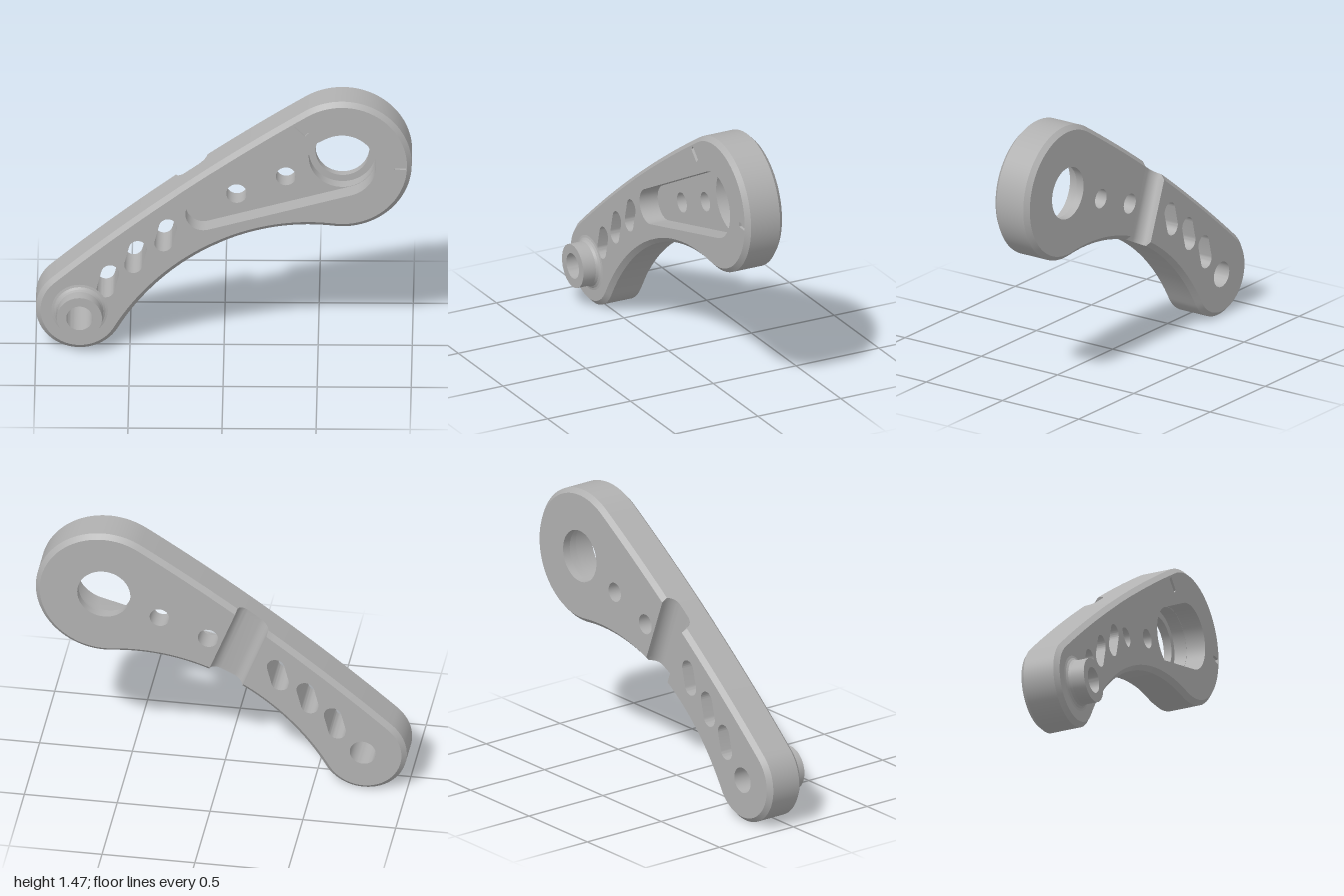
import * as THREE from 'three';
import { toCreasedNormals } from 'three/addons/utils/BufferGeometryUtils.js';

const FRONT = 0.065, BACK = -0.16, CHAMFER = 0.025;
const POCKET_Z = -0.045, LEDGE_Z = -0.115;
const V2 = (x, y) => new THREE.Vector2(x, y);
const rad = THREE.MathUtils.degToRad;

// Points along an arc, angles in degrees
function arc(c, r, a0, a1, n) {
  return Array.from({ length: n + 1 }, (_, i) => {
    const a = rad(a0 + (a1 - a0) * i / n);
    return V2(c.x + r * Math.cos(a), c.y + r * Math.sin(a));
  });
}
const circle = (c, r, n = 48) => arc(c, r, 0, 360, n).slice(0, n);

// Outline wrapped around two circles
function hull(c1, r1, c2, r2) {
  const t = THREE.MathUtils.radToDeg(Math.atan2(c2.y - c1.y, c2.x - c1.x));
  const s = THREE.MathUtils.radToDeg(Math.asin((r2 - r1) / c1.distanceTo(c2)));
  return [...arc(c1, r1, t + 90 + s, t + 270 - s, 20), ...arc(c2, r2, t - 90 - s, t + 90 + s, 28)];
}

// Curve leaving a in direction da and reaching b in direction db (degrees)
function sweep(a, da, b, db, h) {
  const off = (p, d, k) => V2(p.x + k * Math.cos(rad(d)), p.y + k * Math.sin(rad(d)));
  return new THREE.CubicBezierCurve(a, off(a, da, h), off(b, db, -h), b).getPoints(40).slice(1, -1);
}

const at = (loop, z) => loop.map(p => new THREE.Vector3(p.x, p.y, z));

// Surface between two matching rows of points
function strip(a, b, closed = true) {
  const n = a.length, idx = [];
  for (let i = 0; i < (closed ? n : n - 1); i++) {
    const j = (i + 1) % n;
    idx.push(i, j, n + j, i, n + j, n + i);
  }
  const g = new THREE.BufferGeometry().setFromPoints([...a, ...b]);
  g.setIndex(idx);
  return toCreasedNormals(g, 0.5);
}

// Flat face with holes, at height z
function face(loop, holes, z) {
  const s = new THREE.Shape(loop);
  s.holes = holes.map(h => new THREE.Path(h));
  return new THREE.ShapeGeometry(s).translate(0, 0, z);
}

export function createModel() {
  const group = new THREE.Group();
  const metal = new THREE.MeshStandardMaterial({ color: 0xb0b0b0, side: THREE.DoubleSide });
  metal.name = 'grey metal';
  const add = (name, geo) => {
    const m = new THREE.Mesh(geo, metal);
    m.name = name;
    group.add(m);
    return m;
  };

  // Arm outline, counterclockwise
  const small = V2(-0.767, 0.234), big = V2(0.628, 1.097);
  const end1 = arc(small, 0.233, 131, 330, 48), end2 = arc(big, 0.37, -97, 122, 64);
  const outline = [
    ...end1, ...sweep(end1.at(-1), 60, end2[0], -7, 0.473),
    ...end2, ...sweep(end2.at(-1), 212, end1[0], 221, 0.56),
  ];

  // Cross groove on the back: u runs across it, v along it
  const U = V2(0.93, 0.36).normalize(), V = V2(-U.y, U.x), mid = V2(-0.105, 0.83);
  const uOf = p => p.clone().sub(mid).dot(U), vOf = p => p.clone().sub(mid).dot(V);
  const half = [[-0.1001, BACK]];
  for (let k = 0; k <= 8; k++) {
    const a = k / 8 * Math.PI / 2;
    half.push([-0.1 + 0.06 * (1 - Math.cos(a)), -0.145 + 0.06 * Math.sin(a)]);
  }
  const profile = [...half, ...half.map(([u, z]) => [-u, z]).reverse()];

  // Rim points with the back height the groove leaves at each
  const rim = [];
  outline.forEach((p, i) => {
    const n = outline.length, q = outline[(i + 1) % n], o = outline[(i + n - 1) % n];
    const up = uOf(p), uq = uOf(q);
    if (Math.abs(up) > 0.1001) {
      const t = q.clone().sub(o).normalize();
      rim.push({ p, u: up, z: BACK, inner: V2(p.x - t.y * CHAMFER, p.y + t.x * CHAMFER) });
    }
    const hits = profile.filter(([u]) => (u - up) * (u - uq) < 0);
    if (uq < up) hits.reverse();
    for (const [u, z] of hits) {
      const c = p.clone().lerp(q, (u - up) / (uq - up));
      const inner = c.clone().addScaledVector(V, vOf(c) < 0 ? CHAMFER : -CHAMFER);
      rim.push({ p: c, u, z, inner, groove: true });
    }
  });
  const outer = rim.map(r => r.p), inner = rim.map(r => r.inner);
  const backWall = rim.map(r => new THREE.Vector3(r.p.x, r.p.y, Math.max(r.z, BACK + CHAMFER)));
  const backRim = rim.map(r => new THREE.Vector3(r.inner.x, r.inner.y, r.z));

  add('armSide', strip(backWall, at(outer, FRONT - CHAMFER)));
  add('frontChamfer', strip(at(outer, FRONT - CHAMFER), at(inner, FRONT)));
  add('backChamfer', strip(backRim, backWall));

  // Openings
  const slots = [[-0.617, 0.405], [-0.47, 0.55], [-0.31, 0.68]].map(([x, y]) =>
    hull(V2(x - 0.012, y - 0.047), 0.048, V2(x + 0.012, y + 0.047), 0.048));
  const pinHoles = [circle(V2(0.066, 0.875), 0.055, 32), circle(V2(0.328, 0.979), 0.053, 32)];
  const pocket = hull(V2(-0.11, 0.806), 0.095, big, 0.181);
  const counterbore = circle(big, 0.179, 64), bore = circle(big, 0.143, 64);
  const pivotHole = circle(small, 0.07);

  // Index marks, shallow radial notches
  const marks = [[135.8, 0.262, 0.342], [-1.2, 0.28, 0.341]].map(([deg, r0, r1]) => {
    const d = V2(Math.cos(rad(deg)), Math.sin(rad(deg)));
    return [[r0, -1], [r1, -1], [r1, 1], [r0, 1]].map(([r, s]) =>
      V2(big.x + d.x * r - d.y * s * 0.014, big.y + d.y * r + d.x * s * 0.014));
  });
  marks.forEach(m => {
    add('indexMarkFloor', face(m, [], FRONT - 0.015));
    add('indexMarkWall', strip(at(m, FRONT - 0.015), at(m, FRONT)));
  });

  // Front and back faces
  add('frontFace', face(inner, [...slots, pocket, circle(small, 0.12), ...marks], FRONT));
  const backSide = s => rim.filter(r => r.z === BACK && r.u * s > 0).map(r => r.inner);
  add('backFaceLower', face(backSide(-1), [...slots, pivotHole], BACK));
  add('backFaceUpper', face(backSide(1), [...pinHoles, bore], BACK));

  // Groove surface
  const grooveRow = s => rim.filter(r => r.groove && vOf(r.p) * s > 0)
    .sort((a, b) => a.u - b.u).map(r => new THREE.Vector3(r.inner.x, r.inner.y, r.z));
  add('backGroove', strip(grooveRow(-1), grooveRow(1), false));

  // Hole walls
  slots.forEach(s => add('slotWall', strip(at(s, FRONT), at(s, BACK))));
  pinHoles.forEach(h => add('pinHoleWall', strip(at(h, POCKET_Z), at(h, BACK))));

  // Pocket and stepped bore
  add('pocketWall', strip(at(pocket, FRONT), at(pocket, POCKET_Z)));
  add('pocketFloor', face(pocket, [counterbore, ...pinHoles], POCKET_Z));
  add('counterboreWall', strip(at(counterbore, POCKET_Z), at(counterbore, LEDGE_Z)));
  add('boreLedge', face(counterbore, [bore], LEDGE_Z));
  add('boreWall', strip(at(bore, LEDGE_Z), at(bore, BACK)));

  // Pivot boss with flared foot
  const rings = [[0.15, FRONT], [0.137, 0.068], [0.126, 0.076], [0.12, 0.09], [0.12, 0.165]]
    .map(([r, z]) => at(circle(small, r), z));
  for (let i = 0; i < rings.length - 1; i++) add('pivotBoss', strip(rings[i], rings[i + 1]));
  add('pivotBossEnd', face(circle(small, 0.12), [pivotHole], 0.165));
  add('pivotHoleWall', strip(at(pivotHole, 0.165), at(pivotHole, BACK)));

  return group;
}
